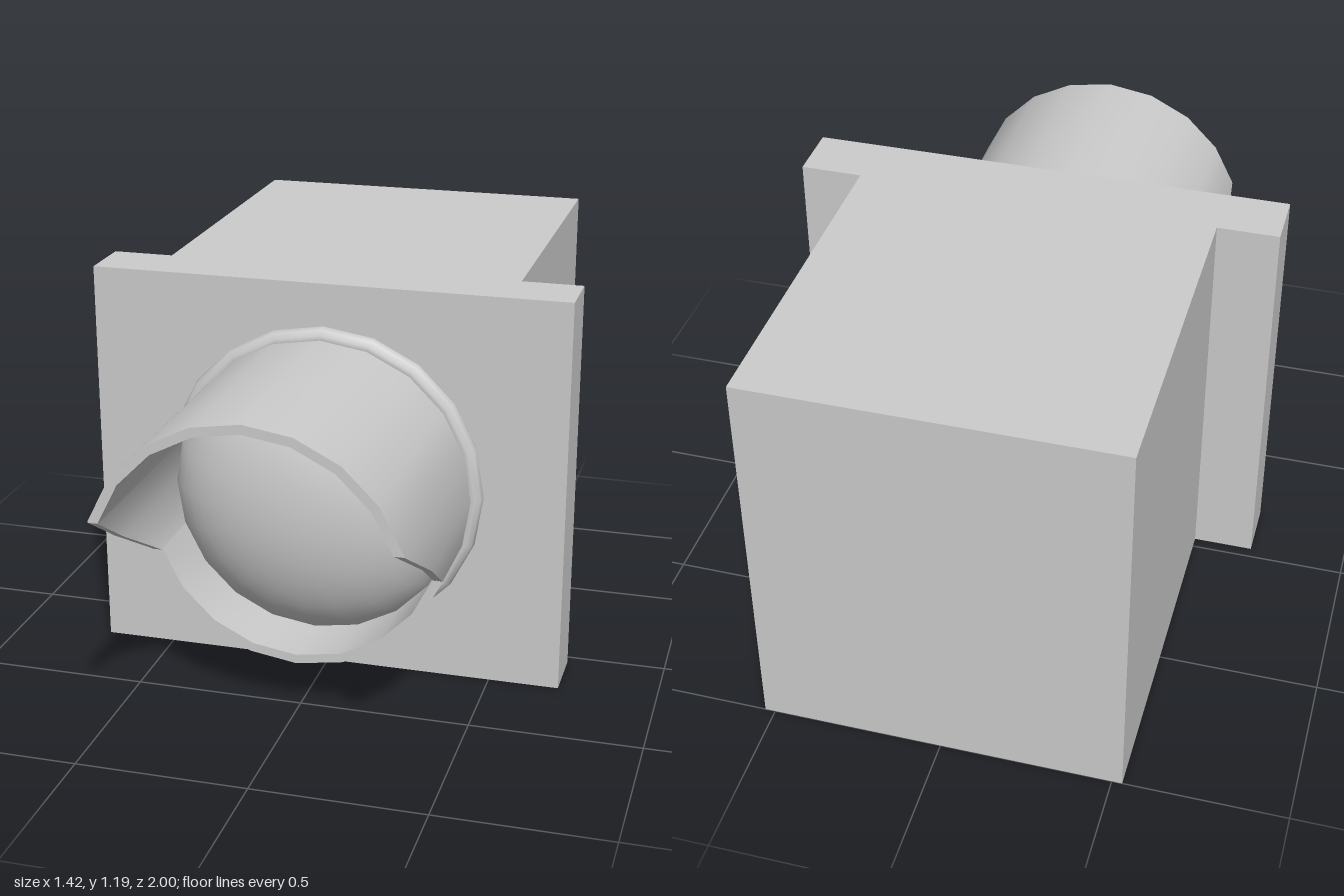
import * as THREE from 'three';
import { toCreasedNormals } from 'three/addons/utils/BufferGeometryUtils.js';

const SIDES = 20;
const CY = 0.597; // height of the lens axis

export function createModel() {
  const model = new THREE.Group();
  const grey = new THREE.MeshStandardMaterial({ color: 0xcccccc });
  const add = (name, geometry, y = 0, z = 0) => {
    const mesh = new THREE.Mesh(geometry, grey);
    mesh.name = name;
    mesh.position.set(0, y, z);
    model.add(mesh);
    return mesh;
  };

  // Housing: T-shaped plan (deep box with a wider front flange) extruded upwards
  const half = [[0.53, -1], [0.53, 0.035], [0.71, 0.035], [0.71, 0.21]];
  const plan = [...half, ...half.map(([x, z]) => [-x, z]).reverse()];
  const housing = new THREE.ExtrudeGeometry(
    new THREE.Shape(plan.map(([x, z]) => new THREE.Vector2(x, -z))),
    { depth: 1.19, bevelEnabled: false });
  add('housing', housing.rotateX(-Math.PI / 2));

  // Bead around the lens opening
  add('bead', new THREE.TorusGeometry(0.447, 0.03, 10, SIDES), CY, 0.243);

  // Short collar carrying the lens and visor
  const collar = new THREE.CylinderGeometry(0.438, 0.438, 0.085, SIDES, 1, true);
  add('collar', collar.rotateX(Math.PI / 2), CY, 0.2475);

  // Domed lens
  const lens = new THREE.SphereGeometry(0.436, SIDES, 12, 0, Math.PI * 2, 0, Math.PI / 2);
  add('lens', lens.rotateX(Math.PI / 2).scale(1, 1, 0.59), CY, 0.275);

  add('visor', visorGeometry(0.447, 0.42, 0.283), CY);
  return model;
}

// Tube along z whose front is cut: short at the bottom, sloping out to the full-length hood
function visorGeometry(outerR, innerR, back) {
  const low = -0.137, high = 0.133;
  const frontZ = (y) => THREE.MathUtils.clamp(
    THREE.MathUtils.mapLinear(y, low, high, 0.54, 1), 0.54, 1);

  // Polygon outline with extra points where it crosses the ends of the slope
  const outline = (r) => {
    const points = [];
    for (let i = 0; i < SIDES; i++) {
      const [a, b] = [i, i + 1].map((k) => {
        const t = (k / SIDES) * Math.PI * 2 - Math.PI / 2;
        return new THREE.Vector2(Math.cos(t) * r, Math.sin(t) * r);
      });
      points.push(a);
      for (const y of [low, high]) {
        const t = (y - a.y) / (b.y - a.y);
        if (t > 0 && t < 1) points.push(a.clone().lerp(b, t));
      }
    }
    return points;
  };

  // Four edges of the wall section at every outline point
  const outer = outline(outerR), inner = outline(innerR);
  const sections = outer.map((o, i) => {
    const n = inner[i];
    return [[o.x, o.y, back], [o.x, o.y, frontZ(o.y)], [n.x, n.y, frontZ(n.y)], [n.x, n.y, back]];
  });

  // Outside, front rim, inside and back rim
  const positions = [];
  sections.forEach((s, i) => {
    const next = sections[(i + 1) % sections.length];
    for (let k = 0; k < 4; k++) {
      const j = (k + 1) % 4;
      positions.push(...s[k], ...next[k], ...next[j], ...s[k], ...next[j], ...s[j]);
    }
  });
  const geometry = new THREE.BufferGeometry();
  geometry.setAttribute('position', new THREE.Float32BufferAttribute(positions, 3));
  return toCreasedNormals(geometry, 0.6);
}
